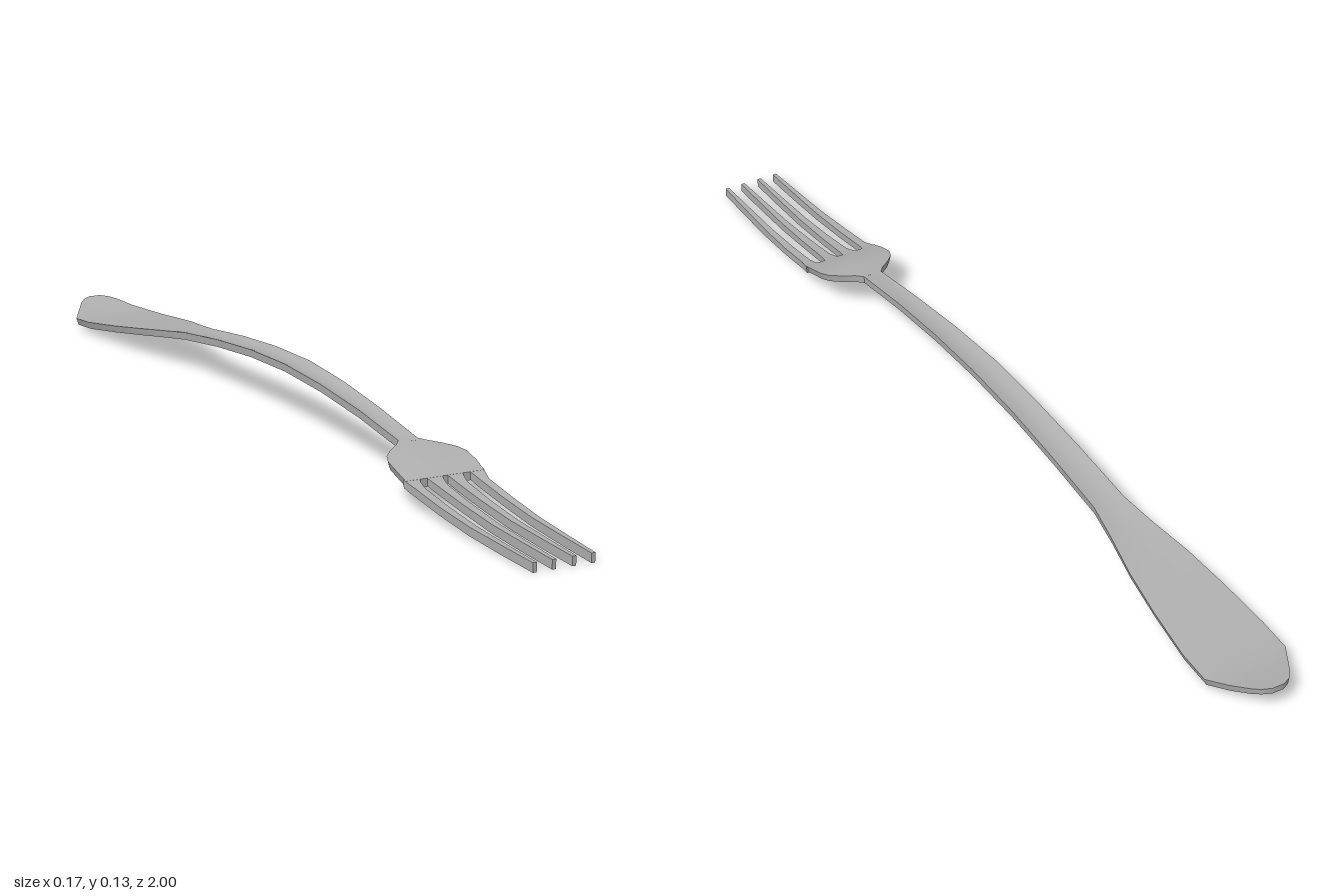
import * as THREE from 'three';
import { toCreasedNormals } from 'three/addons/utils/BufferGeometryUtils.js';

const steel = new THREE.MeshStandardMaterial({ color: 0xb0b0b0 });
steel.name = 'steel grey';

// Height of the centre line along the length
const spine = new THREE.CatmullRomCurve3([
  [-1, 0.04], [-0.9, 0.018], [-0.8, 0.029], [-0.6, 0.058], [-0.4, 0.085],
  [-0.2, 0.107], [0, 0.116], [0.2, 0.106], [0.4, 0.084], [0.54, 0.063],
  [0.61, 0.039], [0.68, 0.029], [0.8, 0.017], [1, 0.0095],
].map(([z, y]) => new THREE.Vector3(0, y, z))).getPoints(260);

function height(z) {
  const i = Math.max(1, spine.findIndex((p) => p.z >= z - 1e-6));
  const a = spine[i - 1], b = spine[i];
  return a.y + (b.y - a.y) * (z - a.z) / (b.z - a.z);
}

// Loft through stations [z, centre x, half width, thickness, dish of the top]
function loft(name, stations) {
  const across = [-1, -0.5, 0, 0.5, 1];
  const n = across.length * 2;
  const pos = [], index = [];
  for (const [z, cx, w, t, dish] of stations) {
    const y = height(z);
    for (const u of across) pos.push(cx + u * w, y + t / 2 + dish * (u * u - 0.5), z);
    for (const u of [...across].reverse()) pos.push(cx + u * w * 0.94, y - t / 2 + dish * (u * u - 0.5), z);
  }
  for (let i = 0; i < stations.length - 1; i++) {
    for (let k = 0; k < n; k++) {
      const a = i * n + k, b = i * n + (k + 1) % n;
      index.push(a, a + n, b, b, a + n, b + n);
    }
  }
  // End caps, as strips between top and bottom
  const last = (stations.length - 1) * n;
  for (let k = 0; k < across.length - 1; k++) {
    const a = k, b = k + 1, c = n - 2 - k, d = n - 1 - k;
    index.push(a, b, c, a, c, d);
    index.push(last + a, last + c, last + b, last + a, last + d, last + c);
  }
  const geo = new THREE.BufferGeometry();
  geo.setAttribute('position', new THREE.Float32BufferAttribute(pos, 3));
  geo.setIndex(index);
  const mesh = new THREE.Mesh(toCreasedNormals(geo, 0.7), steel);
  mesh.name = name;
  return mesh;
}

export function createModel() {
  const fork = new THREE.Group();
  fork.name = 'fork';

  // Handle: turned-up rounded end, broad grip and slim neck
  fork.add(loft('handle', [
    [-1, 0, 0.012, 0.012, 0], [-0.99, 0, 0.03, 0.012, 0], [-0.975, 0, 0.043, 0.013, 0],
    [-0.94, 0, 0.064, 0.014, 0], [-0.9, 0, 0.087, 0.015, 0], [-0.83, 0, 0.087, 0.015, 0],
    [-0.72, 0, 0.077, 0.015, 0], [-0.62, 0, 0.064, 0.015, 0.001], [-0.53, 0, 0.046, 0.015, 0.002],
    [-0.45, 0, 0.033, 0.016, 0.004], [-0.3, 0, 0.031, 0.016, 0.005], [-0.15, 0, 0.029, 0.016, 0.005],
    [0, 0, 0.028, 0.016, 0.005], [0.15, 0, 0.025, 0.016, 0.005], [0.3, 0, 0.022, 0.016, 0.004],
    [0.46, 0, 0.02, 0.016, 0],
  ]));

  // Head: flared shoulders down to the roots of the tines
  fork.add(loft('head', [
    [0.45, 0, 0.02, 0.016, 0], [0.465, 0, 0.032, 0.016, 0], [0.485, 0, 0.056, 0.016, -0.002],
    [0.505, 0, 0.074, 0.016, -0.003], [0.525, 0, 0.082, 0.016, -0.003],
    [0.56, 0, 0.083, 0.016, -0.002], [0.59, 0, 0.081, 0.016, 0],
  ]));

  // Four tapering tines, mirrored in pairs
  for (const [label, root, mid, tip, w] of [['Inner', 0.021, 0.02, 0.02, 0.015], ['Outer', 0.067, 0.065, 0.058, 0.014]]) {
    for (const [side, s] of [['left', 1], ['right', -1]]) {
      fork.add(loft(side + label + 'Tine', [
        [0.585, s * root, w + 0.002, 0.015, 0], [0.6, s * root, w - 0.002, 0.016, 0],
        [0.62, s * (root + mid) / 2, w - 0.005, 0.016, 0], [0.7, s * mid, 0.0085, 0.016, 0],
        [0.8, s * (mid * 0.67 + tip * 0.33), 0.007, 0.017, 0],
        [0.9, s * (mid * 0.33 + tip * 0.67), 0.0055, 0.018, 0], [1, s * tip, 0.004, 0.018, 0],
      ]));
    }
  }
  return fork;
}
